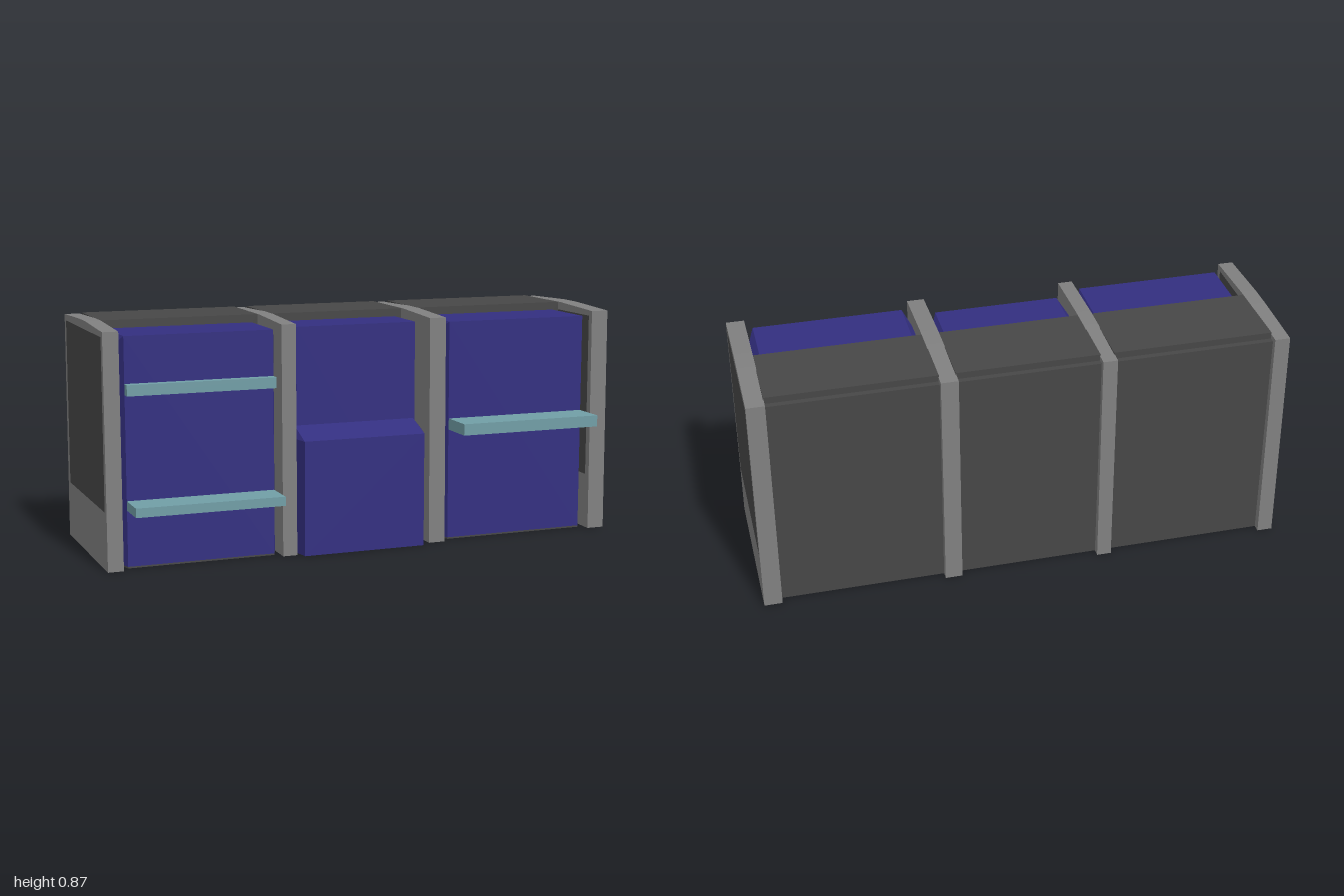
import * as THREE from 'three';
import { ConvexGeometry } from 'three/addons/geometries/ConvexGeometry.js';

const mat = (color) => new THREE.MeshStandardMaterial({ color, flatShading: true });

export function createModel() {
  const group = new THREE.Group();
  const grey = mat(0x808080), dark = mat(0x474747), blue = mat(0x332f80), teal = mat(0x719ea6);

  const add = (name, geometry, material) => {
    const mesh = new THREE.Mesh(geometry, material);
    mesh.name = name;
    group.add(mesh);
    return mesh;
  };
  // box given by its limits
  const box = (name, material, x0, x1, y0, y1, z0, z1) => {
    const m = add(name, new THREE.BoxGeometry(x1 - x0, y1 - y0, z1 - z0), material);
    m.position.set((x0 + x1) / 2, (y0 + y1) / 2, (z0 + z1) / 2);
  };
  const points = (list) => list.map(([a, b]) => new THREE.Vector2(a, b));

  // Upright frames: side profile in (z, y), extruded along x
  const outline = [[0.263, 0], [0.257, 0.86], [0, 0.871], [-0.1, 0.871], [-0.357, 0.862], [-0.367, 0]];
  const opening = [[0.233, 0.213], [-0.333, 0.213], [-0.333, 0.84], [0.233, 0.84]];
  const slab = (name, material, profile, hole, x0, x1) => {
    const shape = new THREE.Shape(points(profile));
    if (hole) shape.holes.push(new THREE.Path(points(hole)));
    const geometry = new THREE.ExtrudeGeometry(shape, { depth: x1 - x0, bevelEnabled: false });
    geometry.rotateY(-Math.PI / 2); // shape x -> z, depth -> -x
    add(name, geometry, material).position.x = x1;
  };
  for (const [x0, x1] of [[-1, -0.942], [0.932, 1]]) {
    slab('endFrame', grey, outline, opening, x0, x1);
    slab('endPanel', dark, opening, null, x0, x1);
  }
  const dividers = [[-0.34, -0.285], [0.247, 0.312]];
  for (const [x0, x1] of dividers) slab('dividerFrame', grey, outline, null, x0, x1);

  // Block with bevelled front corners and, optionally, bevelled upper sides
  const block = (name, material, [x0, x1], b, y0, y1, zBack, zSide, zFront, drop) => {
    const pts = [];
    for (const [x, s] of [[x0, 1], [x1, -1]]) {
      const inner = x + s * b;
      for (const z of [zBack, zSide]) {
        pts.push(new THREE.Vector3(x, y0, z), new THREE.Vector3(x, y1 - drop, z));
      }
      for (const z of [zBack, zFront]) {
        pts.push(new THREE.Vector3(inner, y0, z), new THREE.Vector3(inner, y1, z));
      }
    }
    add(name, new ConvexGeometry(pts), material);
  };

  // Three bays, each with a rear housing, floor and front body
  const bays = [
    { x: [-0.943, -0.338], b: 0.025, front: 0.23 },
    { x: [-0.287, 0.249], b: 0.03, front: 0.18 },
    { x: [0.31, 0.934], b: 0.029, front: 0.23 },
  ];
  for (const { x, b, front } of bays) {
    box('rearHousing', dark, x[0], x[1], 0, 0.87, -0.315, -0.02);
    box('backPanel', dark, x[0], x[1], 0, 0.845, -0.337, -0.315);
    block('bayFloor', dark, x, b, 0, 0.006, -0.02, front - 0.07, front, 0);
    block('bayBody', blue, x, b, 0.006, 0.84, -0.02, front - 0.07, front, 0.04);
  }

  // Projecting lower cabinet of the middle bay, with a sloped top
  const lower = [];
  for (const [side, face] of [[-0.284, -0.264], [0.247, 0.213]]) {
    for (const y of [0, 0.43]) {
      lower.push(new THREE.Vector3(side, y, 0.1), new THREE.Vector3(side, y, 0.18),
        new THREE.Vector3(face, y, 0.29));
    }
    lower.push(new THREE.Vector3(face, 0.472, 0.1), new THREE.Vector3(face, 0.472, 0.18));
  }
  add('lowerCabinet', new ConvexGeometry(lower), blue);

  // Shelves
  box('upperShelf', teal, -0.918, -0.363, 0.63, 0.67, 0.22, 0.265);
  box('lowerShelf', teal, -0.918, -0.363, 0.213, 0.247, 0.22, 0.36);
  box('counterShelf', teal, 0.34, 0.903, 0.427, 0.47, 0.22, 0.37);

  return group;
}
